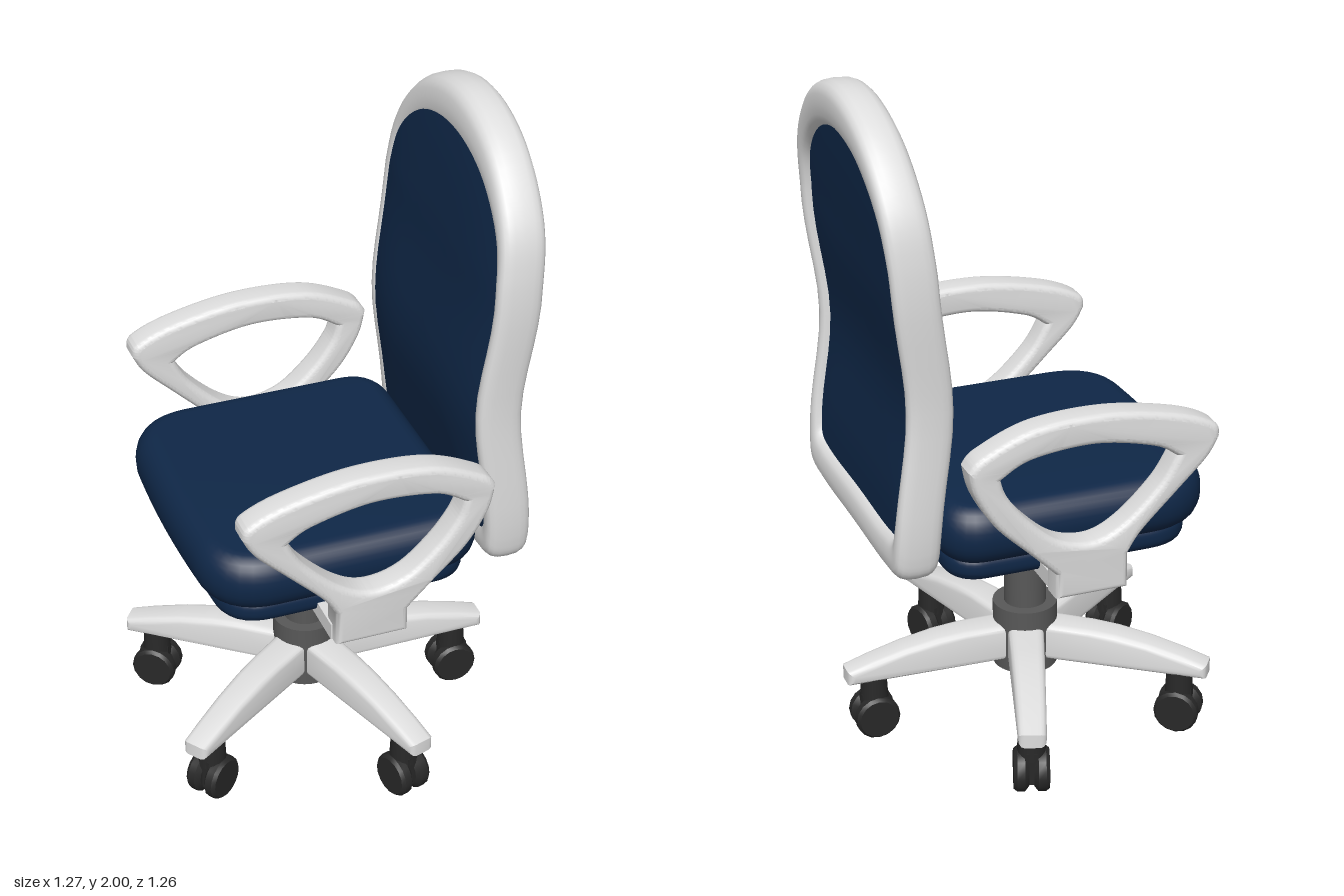
import * as THREE from 'three';
import { toCreasedNormals } from 'three/addons/utils/BufferGeometryUtils.js';

const mat = (name, color) => {
  const m = new THREE.MeshStandardMaterial({ color });
  m.name = name;
  return m;
};

// Surface through rows of points; each row is a closed loop
function loft(rows, closeRows) {
  const n = rows[0].length, index = [];
  const last = closeRows ? rows.length : rows.length - 1;
  for (let i = 0; i < last; i++) for (let j = 0; j < n; j++) {
    const k = (i + 1) % rows.length, l = (j + 1) % n;
    index.push(i * n + j, k * n + j, k * n + l, i * n + j, k * n + l, i * n + l);
  }
  const g = new THREE.BufferGeometry();
  g.setAttribute('position', new THREE.Float32BufferAttribute(rows.flat(2), 3));
  g.setIndex(index);
  g.computeVertexNormals();
  return g;
}

// Mirrored closed outline from a half outline running bottom to top
function outline(half, count) {
  const left = half.slice(1, -1).reverse().map(([x, y]) => [-x, y]);
  const pts = [...half, ...left].map(([x, y]) => new THREE.Vector3(x, y, 0));
  const curve = new THREE.CatmullRomCurve3(pts, true);
  return Array.from({ length: count }, (_, i) => curve.getPoint(i / count));
}

// Puffed cushion with rounded corners, spanning y0 to y1
function cushion(hw, back, front, y0, y1, rBack, rFront, puff) {
  const w = hw - puff, b = back + puff, f = front - puff, s = new THREE.Shape();
  const h = (y1 - y0) / 2;
  s.moveTo(-w + rFront, -f).quadraticCurveTo(0, -f - 0.015, w - rFront, -f);
  s.quadraticCurveTo(w, -f, w, -f + rFront);
  s.lineTo(w, -b - rBack).quadraticCurveTo(w, -b, w - rBack, -b);
  s.lineTo(-w + rBack, -b).quadraticCurveTo(-w, -b, -w, -b - rBack);
  s.lineTo(-w, -f + rFront).quadraticCurveTo(-w, -f, -w + rFront, -f);
  const g = new THREE.ExtrudeGeometry(s, {
    depth: 0.01, bevelThickness: h - 0.005, bevelSize: puff, bevelSegments: 7, curveSegments: 8,
  });
  g.rotateX(-Math.PI / 2).translate(0, (y0 + y1) / 2 - 0.005, 0);
  return toCreasedNormals(g, 0.7);
}

export function createModel() {
  const white = mat('lightPlastic', 0xdedede), navy = mat('navyFabric', 0x0f2747);
  const grey = mat('greyMetal', 0x585858), black = mat('blackPlastic', 0x282828);
  const model = new THREE.Group();
  model.name = 'officeChair';
  const add = (parent, name, geo, m, x = 0, y = 0, z = 0) => {
    const mesh = new THREE.Mesh(geo, m);
    mesh.name = name;
    mesh.position.set(x, y, z);
    parent.add(mesh);
    return mesh;
  };
  const group = (parent, name, angle) => {
    const g = new THREE.Group();
    g.name = name;
    g.rotation.y = angle;
    parent.add(g);
    return g;
  };
  const base = group(model, 'base', 0);
  const upper = group(model, 'seatAssembly', -35 * Math.PI / 180);
  base.position.set(-0.005, 0, 0.037);
  upper.position.copy(base.position);

  // Gas column and hub
  const column = [[0, 0.16], [0.095, 0.16], [0.095, 0.36], [0.062, 0.36], [0.062, 0.51],
    [0.037, 0.51], [0.037, 0.65], [0, 0.65]].map(p => new THREE.Vector2(...p));
  add(base, 'column', toCreasedNormals(new THREE.LatheGeometry(column, 32), 0.6), grey);

  // Five tapered legs with casters
  const profile = [[0.03, 0.19], [0.555, 0.19], [0.555, 0.232], [0.48, 0.255], [0.38, 0.28],
    [0.28, 0.297], [0.2, 0.303], [0.03, 0.303]].map(p => new THREE.Vector2(...p));
  let legGeo = new THREE.ExtrudeGeometry(new THREE.Shape(profile), {
    depth: 0.06, bevelThickness: 0.022, bevelSize: 0.018, bevelOffset: -0.018, bevelSegments: 3,
  });
  legGeo.translate(0, 0, -0.03);
  const lp = legGeo.attributes.position;
  for (let i = 0; i < lp.count; i++) lp.setZ(i, lp.getZ(i) * (1.05 - 0.5 * lp.getX(i)));
  legGeo.rotateY(-Math.PI / 2);
  legGeo = toCreasedNormals(legGeo, 0.6);
  const wheel = [[0, -0.022], [0.05, -0.022], [0.066, -0.01], [0.066, 0.012], [0.058, 0.022], [0, 0.022]]
    .map(p => new THREE.Vector2(...p));
  const wheelGeo = toCreasedNormals(new THREE.LatheGeometry(wheel, 16).rotateZ(-Math.PI / 2), 0.6);
  for (let i = 0; i < 5; i++) {
    const leg = group(base, 'baseLeg', i * Math.PI * 2 / 5);
    add(leg, 'legArm', legGeo, white);
    add(leg, 'casterStem', new THREE.CylinderGeometry(0.038, 0.042, 0.08, 16), black, 0, 0.155, 0.47);
    add(leg, 'casterFork', new THREE.BoxGeometry(0.03, 0.1, 0.08), black, 0, 0.09, 0.47);
    for (const s of [-1, 1]) {
      const w = add(leg, 'casterWheel', wheelGeo, black, s * 0.029, 0.071, 0.47);
      if (s < 0) w.rotation.y = Math.PI;
    }
  }

  // Seat cushions and cross bar
  add(upper, 'seatCushion', cushion(0.43, -0.39, 0.42, 0.72, 0.895, 0.07, 0.13, 0.065), navy);
  add(upper, 'seatUnderside', cushion(0.385, -0.36, 0.37, 0.66, 0.74, 0.08, 0.11, 0.03), navy);
  add(upper, 'crossBar', new THREE.BoxGeometry(0.98, 0.05, 0.21), white, 0, 0.67, 0);

  // Looped armrests
  const vec = a => a.map(p => new THREE.Vector2(...p));
  const arm = new THREE.Shape();
  arm.moveTo(-0.11, 0.645).lineTo(0.1, 0.645).lineTo(0.1, 0.75);
  arm.splineThru(vec([[0.14, 0.81], [0.24, 0.91], [0.33, 1.0], [0.365, 1.06]]));
  arm.splineThru(vec([[0.35, 1.1], [0.24, 1.145], [0.04, 1.18], [-0.17, 1.17], [-0.32, 1.11], [-0.36, 1.07]]));
  arm.splineThru(vec([[-0.34, 0.99], [-0.28, 0.89], [-0.18, 0.79], [-0.11, 0.72]]));
  const hole = new THREE.Path();
  hole.moveTo(0.24, 1.02);
  hole.splineThru(vec([[0.17, 1.06], [0, 1.095], [-0.18, 1.08], [-0.27, 1.035]]));
  hole.splineThru(vec([[-0.25, 0.98], [-0.19, 0.9], [-0.1, 0.825], [0, 0.805], [0.09, 0.845],
    [0.19, 0.94], [0.24, 1.02]]));
  arm.holes.push(hole);
  let armGeo = new THREE.ExtrudeGeometry(arm, {
    depth: 0.05, bevelThickness: 0.02, bevelSize: 0.018, bevelOffset: -0.018, bevelSegments: 4, curveSegments: 24,
  });
  armGeo.rotateY(-Math.PI / 2).translate(0.025, 0, 0);
  armGeo = toCreasedNormals(armGeo, 0.6);
  for (const s of [-1, 1]) add(upper, s > 0 ? 'leftArmrest' : 'rightArmrest', armGeo, white, s * 0.484, 0, 0);

  // Backrest: lumbar curve shared by frame and panels
  const depthAt = y => -0.465 + 0.045 * Math.exp(-(((y - 1.2) / 0.25) ** 2)) - 0.07 * Math.max(0, y - 1.6);
  const N = 96;
  const outer = outline([[0, 0.7], [0.3, 0.7], [0.39, 0.715], [0.412, 0.79], [0.41, 1.2], [0.418, 1.6],
    [0.372, 1.78], [0.22, 1.94], [0, 2.0]], N);
  const inner = outline([[0, 0.82], [0.28, 0.82], [0.34, 0.835], [0.357, 0.89], [0.357, 1.2], [0.366, 1.57],
    [0.325, 1.71], [0.19, 1.82], [0, 1.86]], N);
  const soft = v => Math.sign(v) * Math.abs(v) ** 0.7;
  const frameRows = outer.map((o, i) => Array.from({ length: 20 }, (_, j) => {
    const a = j / 20 * Math.PI * 2, k = 0.5 + 0.5 * soft(Math.cos(a));
    const p = inner[i].clone().lerp(o, k);
    return [p.x, p.y, depthAt(p.y) + 0.065 * soft(Math.sin(a))];
  }));
  add(upper, 'backFrame', loft(frameRows, true), white);

  // Padded panels, front and rear
  const panel = (loop, reach, offset, bulge) => loft(Array.from({ length: 13 }, (_, i) => {
    const s = i / 12;
    return loop.map(p => {
      const y = 1.34 + (p.y - 1.34) * s * reach;
      return [p.x * s * reach, y, depthAt(y) + offset + bulge * (1 - s ** 4)];
    });
  }), false);
  add(upper, 'backPanelFront', panel(inner, 1.08, 0.058, 0.025), navy);
  add(upper, 'backPanelRear', panel([...inner].reverse(), 1.02, -0.04, -0.008), navy);
  return model;
}
